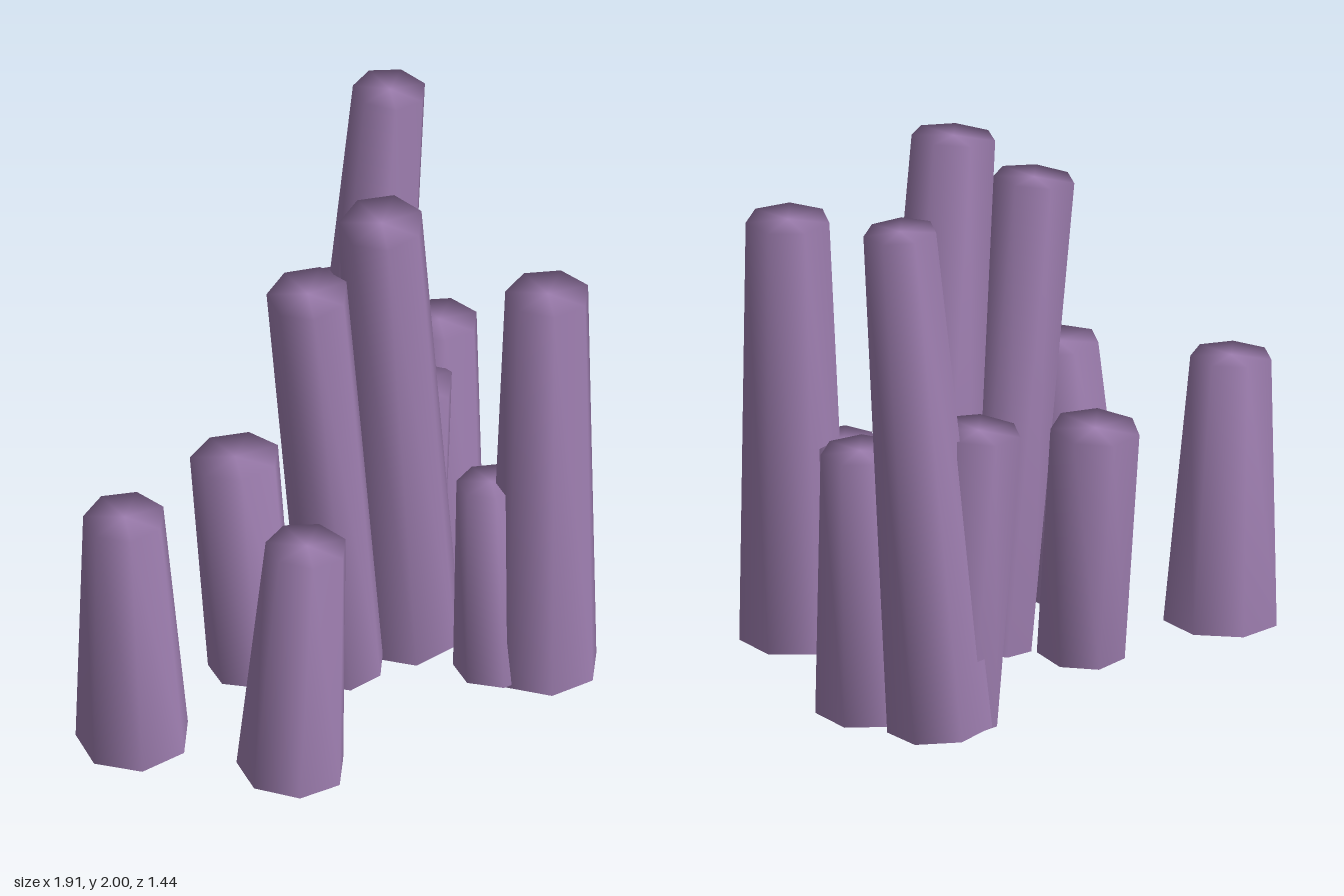
import * as THREE from 'three';
import { mergeVertices } from 'three/addons/utils/BufferGeometryUtils.js';

const SIDES = 7;

// Each column: base centre x, z, base radius, top centre x, y, z, top radius
const COLUMNS = [
  [-0.755, 0.06, 0.21, -0.802, 1.02, 0.07, 0.15],
  [-0.393, 0.54, 0.2, -0.325, 0.98, 0.54, 0.15],
  [-0.16, -0.05, 0.163, -0.18, 0.905, -0.135, 0.165],
  [0.113, 0.135, 0.15, -0.075, 1.782, 0.175, 0.15],
  [0.415, 0.1, 0.197, 0.233, 1.983, 0.195, 0.155],
  [0.6, -0.525, 0.195, 0.75, 1.938, -0.505, 0.135],
  [0.53, -0.48, 0.165, 0.45, 1.133, -0.53, 0.158],
  [0.575, -0.165, 0.16, 0.572, 0.915, -0.145, 0.178],
  [0.752, -0.25, 0.205, 0.808, 1.02, -0.278, 0.145],
  [0.713, 0.53, 0.204, 0.756, 1.632, 0.495, 0.155],
  [0.565, 0.45, 0.16, 0.585, 0.79, 0.38, 0.125],
];

// Tapered seven-sided shaft with a closed top and open base, smoothed as one surface
function columnGeometry(baseRadius, topRadius, height) {
  const profile = [
    new THREE.Vector2(baseRadius, 0),
    new THREE.Vector2(topRadius, height),
    new THREE.Vector2(0, height),
  ];
  const lathe = new THREE.LatheGeometry(profile, SIDES, Math.PI);
  lathe.deleteAttribute('normal');
  lathe.deleteAttribute('uv');
  const geometry = mergeVertices(lathe, 1e-4);
  geometry.computeVertexNormals();
  return geometry;
}

export function createModel() {
  const model = new THREE.Group();
  model.name = 'columnCluster';
  const purple = new THREE.MeshStandardMaterial({ color: 0x9f7fb1, side: THREE.DoubleSide });
  purple.name = 'purpleStone';
  const up = new THREE.Vector3(0, 1, 0);

  COLUMNS.forEach(([bx, bz, br, tx, ty, tz, tr], i) => {
    const base = new THREE.Vector3(bx, 0, bz);
    const axis = new THREE.Vector3(tx, ty, tz).sub(base);
    const length = axis.length();
    axis.normalize();
    // Raise the leaning base so its lowest edge rests on the ground
    base.y = br * Math.hypot(axis.x, axis.z);
    const column = new THREE.Mesh(columnGeometry(br, tr, length - base.y), purple);
    column.name = `column${i + 1}`;
    column.position.copy(base);
    column.quaternion.setFromUnitVectors(up, axis);
    model.add(column);
  });
  return model;
}
